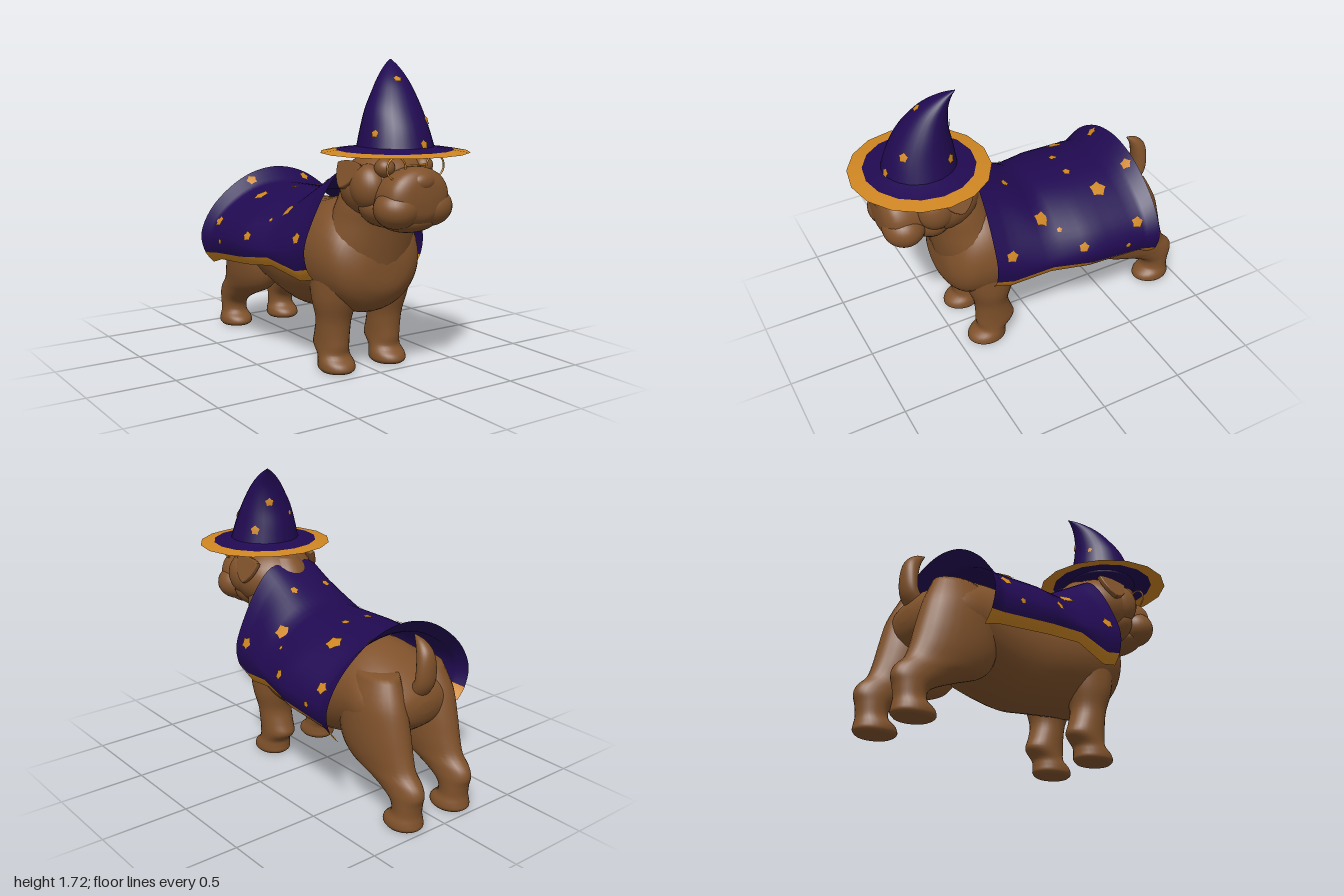
import * as THREE from 'three';

const mat = (name, color, double) => {
  const m = new THREE.MeshStandardMaterial({ color });
  m.name = name;
  if (double) m.side = THREE.DoubleSide;
  return m;
};

// Samples a list of number rows at t in 0..1, smoothly or in straight steps
function sample(rows, t, straight) {
  const n = rows.length - 1, f = Math.min(Math.max(t, 0), 1) * n;
  const i = Math.min(Math.floor(f), n - 1), k = f - i;
  const [a, b, c, d] = [rows[Math.max(i - 1, 0)], rows[i], rows[i + 1], rows[Math.min(i + 2, n)]];
  return b.map((p, j) => straight ? p + (c[j] - p) * k
    : 0.5 * (2 * p + (c[j] - a[j]) * k + (2 * a[j] - 5 * p + 4 * c[j] - d[j]) * k * k
      + (3 * p - a[j] - 3 * c[j] + d[j]) * k * k * k));
}

function buffer(pos, idx) {
  const g = new THREE.BufferGeometry();
  g.setAttribute('position', new THREE.Float32BufferAttribute(pos, 3));
  g.setIndex(idx);
  g.computeVertexNormals();
  return g;
}

// Ring row: [x, y, z, half width, half depth, tilt of the path from up towards +z]
function ringPoint(row, angle) {
  const [x, y, z, rx, rd, tilt = 0] = row, c = Math.cos(angle) * rd;
  return new THREE.Vector3(x + Math.sin(angle) * rx, y - Math.sin(tilt) * c, z + Math.cos(tilt) * c);
}

// Closed smooth skin through elliptical rings
function loft(rows, steps = 32, sides = 28) {
  const rings = [];
  for (let i = 0; i <= steps; i++) rings.push(sample(rows, i / steps));
  const flat = (r) => [r[0], r[1], r[2], 0, 0, r[5]];
  rings.unshift(flat(rings[0]));
  rings.push(flat(rings[rings.length - 1]));
  const pos = [], idx = [];
  rings.forEach((r, i) => {
    for (let j = 0; j < sides; j++) {
      pos.push(...ringPoint(r, j / sides * Math.PI * 2).toArray());
      if (i === rings.length - 1) continue;
      const a = i * sides + j, b = i * sides + (j + 1) % sides;
      idx.push(a, b, a + sides, b, b + sides, a + sides);
    }
  });
  return buffer(pos, idx);
}

// Open sheet over a surface function fn(s, t)
function sheet(fn, s0, s1, ns, nt) {
  const pos = [], idx = [];
  for (let i = 0; i <= nt; i++) for (let j = 0; j <= ns; j++) {
    pos.push(...fn(s0 + (s1 - s0) * j / ns, i / nt).toArray());
    if (i === nt || j === ns) continue;
    const a = i * (ns + 1) + j, c = a + ns + 1;
    idx.push(a, c, a + 1, a + 1, c, c + 1);
  }
  return buffer(pos, idx);
}

// Flat, blunt five-pointed star laid just above a surface
function star(fn, s, t, size, centre) {
  const p = fn(s, t), e = 0.01;
  const u = fn(s + e, t).sub(fn(s - e, t)).normalize();
  const w = fn(s, t + e).sub(fn(s, t - e));
  const n = u.clone().cross(w).normalize();
  if (n.dot(p.clone().sub(centre)) < 0) n.negate();
  const v = n.clone().cross(u);
  const pos = p.clone().addScaledVector(n, 0.008).toArray(), idx = [];
  for (let i = 0; i < 10; i++) {
    const a = i / 10 * Math.PI * 2, r = i % 2 ? size * 0.72 : size;
    pos.push(...p.clone().addScaledVector(u, Math.sin(a) * r).addScaledVector(v, Math.cos(a) * r)
      .addScaledVector(n, 0.006).toArray());
    idx.push(0, (i + 1) % 10 + 1, i + 1);
  }
  return buffer(pos, idx);
}

// Cape sections: z, then x,y pairs from the spine to the hem
const CAPE = [
  [0.355, 0, 1.155, 0.14, 1.145, 0.24, 1.05, 0.33, 0.90, 0.40, 0.73, 0.39, 0.61, 0.345, 0.54],
  [0.25, 0, 1.10, 0.14, 1.085, 0.24, 1.00, 0.33, 0.87, 0.405, 0.71, 0.40, 0.585, 0.36, 0.515],
  [0.02, 0, 0.97, 0.15, 0.95, 0.28, 0.88, 0.38, 0.78, 0.44, 0.67, 0.44, 0.62, 0.41, 0.565],
  [-0.22, 0, 0.96, 0.16, 0.94, 0.30, 0.88, 0.43, 0.78, 0.49, 0.67, 0.48, 0.59, 0.44, 0.535],
  [-0.55, 0, 0.95, 0.16, 0.93, 0.30, 0.87, 0.43, 0.77, 0.49, 0.66, 0.48, 0.56, 0.43, 0.505],
  [-0.64, 0, 1.04, 0.17, 1.01, 0.32, 0.93, 0.45, 0.81, 0.52, 0.67, 0.50, 0.55, 0.44, 0.475],
];
function capePoint(s, t) {
  const row = sample(CAPE, t, true), half = [];
  for (let i = 1; i < row.length; i += 2) half.push([row[i], row[i + 1]]);
  const full = [...half.slice(1).reverse().map(([x, y]) => [-x, y]), ...half];
  const [x, y] = sample(full, (s + 1) / 2);
  return new THREE.Vector3(x, y, row[0]);
}
// Parameter whose value on a falling function matches the target
function solve(f, target) {
  let a = 0, b = 1;
  for (let i = 0; i < 30; i++) { const m = (a + b) / 2; if (f(m) > target) a = m; else b = m; }
  return a;
}

const HAT = [
  [0, 1.255, 0.615, 0.207, 0.207], [0, 1.36, 0.605, 0.18, 0.182], [0.005, 1.46, 0.588, 0.153, 0.145],
  [0.022, 1.55, 0.56, 0.115, 0.108], [0.042, 1.62, 0.525, 0.08, 0.074], [0.072, 1.68, 0.475, 0.038, 0.035],
  [0.1, 1.715, 0.43, 0.003, 0.003],
];

export function createModel() {
  const root = new THREE.Group();
  const brown = mat('brown coat', 0x80522b);
  const purple = mat('purple cloth', 0x210a52, true);
  const gold = mat('gold trim', 0xcf8622, true);
  const add = (name, geo, m) => {
    const mesh = new THREE.Mesh(geo, m);
    mesh.name = name;
    root.add(mesh);
    return mesh;
  };
  const ball = (name, x, y, z, rx, ry, rz) => {
    const g = new THREE.SphereGeometry(1, 28, 20).scale(rx, ry, rz);
    add(name, g, brown).position.set(x, y, z);
  };

  // Torso: z, top, bottom, half width
  add('torso', loft([
    [0.555, 0.64, 0.52, 0.06], [0.54, 0.74, 0.45, 0.17], [0.48, 0.88, 0.365, 0.27], [0.38, 0.97, 0.32, 0.315],
    [0.25, 0.98, 0.31, 0.33], [0.05, 0.93, 0.285, 0.315], [-0.12, 0.915, 0.265, 0.30], [-0.3, 0.91, 0.295, 0.295],
    [-0.48, 0.90, 0.35, 0.30], [-0.62, 0.85, 0.40, 0.31], [-0.74, 0.78, 0.46, 0.27], [-0.81, 0.71, 0.52, 0.18],
    [-0.835, 0.65, 0.59, 0.05],
  ].map(([z, top, bot, w]) => [0, (top + bot) / 2, z, w, (top - bot) / 2, -Math.PI / 2]), 48, 36), brown);

  // Neck and head
  add('neck', loft([[0, 0.5, 0.33, 0.27, 0.2], [0, 0.7, 0.345, 0.28, 0.228], [0, 0.85, 0.40, 0.24, 0.205],
    [0, 0.97, 0.44, 0.21, 0.2], [0, 1.1, 0.45, 0.15, 0.19], [0, 1.19, 0.47, 0.09, 0.13]]), brown);
  ball('skull', 0, 1.045, 0.525, 0.245, 0.195, 0.235);
  ball('brow', 0, 1.13, 0.64, 0.175, 0.09, 0.1);
  ball('jaw', 0, 0.96, 0.61, 0.215, 0.13, 0.14);
  add('muzzle', loft([[0, 1.01, 0.6, 0.17, 0.13], [0, 1.01, 0.7, 0.19, 0.15], [0, 1.015, 0.78, 0.195, 0.16],
    [0, 1.02, 0.84, 0.175, 0.145], [0, 1.02, 0.875, 0.12, 0.1], [0, 1.02, 0.885, 0.04, 0.03]]
    .map((r) => [...r, Math.PI / 2])), brown);
  ball('chin', 0, 0.895, 0.735, 0.165, 0.07, 0.12);
  ball('nose', 0, 1.1, 0.845, 0.075, 0.05, 0.045);

  for (const side of [1, -1]) {
    const name = side > 0 ? 'left' : 'right';
    ball(name + 'Jowl', side * 0.105, 0.96, 0.77, 0.125, 0.105, 0.118);
    ball(name + 'Eye', side * 0.125, 1.165, 0.69, 0.053, 0.05, 0.055);
    ball(name + 'Cheek', side * 0.165, 1.06, 0.6, 0.09, 0.12, 0.11);

    // Folded ear
    const flap = new THREE.Shape();
    flap.moveTo(0.1, 0.05);
    flap.quadraticCurveTo(0, 0.08, -0.09, 0.05);
    flap.quadraticCurveTo(-0.07, -0.04, -0.01, -0.075);
    flap.quadraticCurveTo(0.07, -0.06, 0.1, 0.05);
    const earGeo = new THREE.ExtrudeGeometry(flap, { depth: 0.015, bevelSize: 0.008, bevelThickness: 0.008, bevelSegments: 3 });
    earGeo.translate(0, 0, -0.0075).rotateY(-Math.PI / 2);
    const ear = add(name + 'Ear', earGeo, brown);
    ear.position.set(side * 0.222, 1.12, 0.49);
    ear.rotation.z = side * 0.4;

    // Legs
    const x = side * 0.175;
    add(name + 'FrontLeg', loft([
      [x, 0, 0.325, 0.085, 0.1], [x, 0.018, 0.325, 0.099, 0.118], [x, 0.05, 0.32, 0.099, 0.112],
      [x, 0.09, 0.295, 0.091, 0.092], [x, 0.145, 0.27, 0.092, 0.12], [x, 0.21, 0.28, 0.094, 0.11],
      [x, 0.3, 0.295, 0.1, 0.105], [x, 0.42, 0.3, 0.125, 0.14], [x * 1.1, 0.6, 0.3, 0.11, 0.17],
    ]), brown);
    add(name + 'HindLeg', loft([
      [x, 0, -0.865, 0.085, 0.1], [x, 0.018, -0.862, 0.097, 0.12], [x, 0.05, -0.865, 0.095, 0.113],
      [x, 0.09, -0.885, 0.08, 0.087], [x, 0.15, -0.885, 0.08, 0.095], [x, 0.2, -0.855, 0.085, 0.14],
      [x, 0.25, -0.79, 0.092, 0.19], [x, 0.31, -0.69, 0.108, 0.235], [x, 0.4, -0.64, 0.127, 0.252],
      [x, 0.52, -0.62, 0.135, 0.243], [x, 0.66, -0.61, 0.125, 0.215], [x * 0.9, 0.8, -0.62, 0.09, 0.14],
    ], 44), brown);

    // Spectacle rim
    add(name + 'Rim', new THREE.TorusGeometry(0.058, 0.005, 8, 28), gold).position.set(side * 0.125, 1.17, 0.79);
  }
  const bridge = new THREE.CylinderGeometry(0.005, 0.005, 0.136, 8).rotateZ(Math.PI / 2);
  add('spectacleBridge', bridge, gold).position.set(0, 1.18, 0.79);

  // Upturned tail
  add('tail', loft([[0, 0.68, -0.75, 0.06, 0.05, -0.9], [0, 0.75, -0.81, 0.065, 0.045, -0.5],
    [0, 0.83, -0.822, 0.062, 0.045, 0], [0, 0.91, -0.81, 0.05, 0.045, 0.4],
    [0, 0.965, -0.775, 0.03, 0.028, 0.7], [0, 1.0, -0.73, 0.004, 0.004, 0.8]]), brown);

  // Cape with gold hems
  add('cape', sheet(capePoint, -0.85, 0.85, 40, 20), purple);
  add('leftHem', sheet(capePoint, 0.85, 1, 5, 20), gold);
  add('rightHem', sheet(capePoint, -1, -0.85, 5, 20), gold);

  // Cape stars: z, size, then distance from the spine or height on the flank
  const stars = [[-0.6, 0.035, { x: 0.19 }], [-0.37, 0.052, { x: 0.25 }], [-0.26, 0.027, { x: 0.08 }],
    [0.03, 0.048, { x: 0.3 }], [0.165, 0.028, { x: 0.115 }], [0.26, 0.038, { y: 0.755 }], [-0.05, 0.017, { y: 0.81 }],
    [-0.16, 0.032, { y: 0.71 }], [-0.44, 0.02, { y: 0.64 }], [-0.52, 0.038, { y: 0.745 }]];
  for (const [z, size, at] of stars) {
    const t = solve((k) => capePoint(0, k).z, z);
    const s = at.x !== undefined ? solve((k) => -capePoint(k * 0.6, t).x, -at.x) * 0.6
      : solve((k) => capePoint(k, t).y, at.y);
    for (const side of [1, -1]) add('capeStar', star(capePoint, s * side, t, size, new THREE.Vector3(0, 0.6, z)), gold);
  }

  // Bent pointed hat with a two-tone brim
  add('hatCone', loft(HAT, 30, 28), purple);
  const ring = (name, pts, m) => {
    const g = new THREE.LatheGeometry(pts.map((p) => new THREE.Vector2(...p)), 16).scale(1, 1, 0.965);
    add(name, g, m).position.set(0, 0, 0.612);
  };
  ring('hatBrim', [[0.19, 1.272], [0.25, 1.257], [0.315, 1.249]], purple);
  ring('hatBrimEdge', [[0.315, 1.249], [0.4, 1.236]], gold);
  const hatPoint = (a, t) => ringPoint(sample(HAT, t), a);
  for (const [a, y, size] of [[-0.3, 1.61, 0.026], [0.65, 1.4, 0.03], [0.15, 1.285, 0.027], [2.2, 1.345, 0.03],
    [2.7, 1.51, 0.027], [-1.2, 1.34, 0.024], [-2.7, 1.43, 0.018]]) {
    const t = solve((k) => -sample(HAT, k)[1], -y);
    add('hatStar', star(hatPoint, a, t, size, new THREE.Vector3(0, 1.3, 0.58)), gold);
  }
  return root;
}
